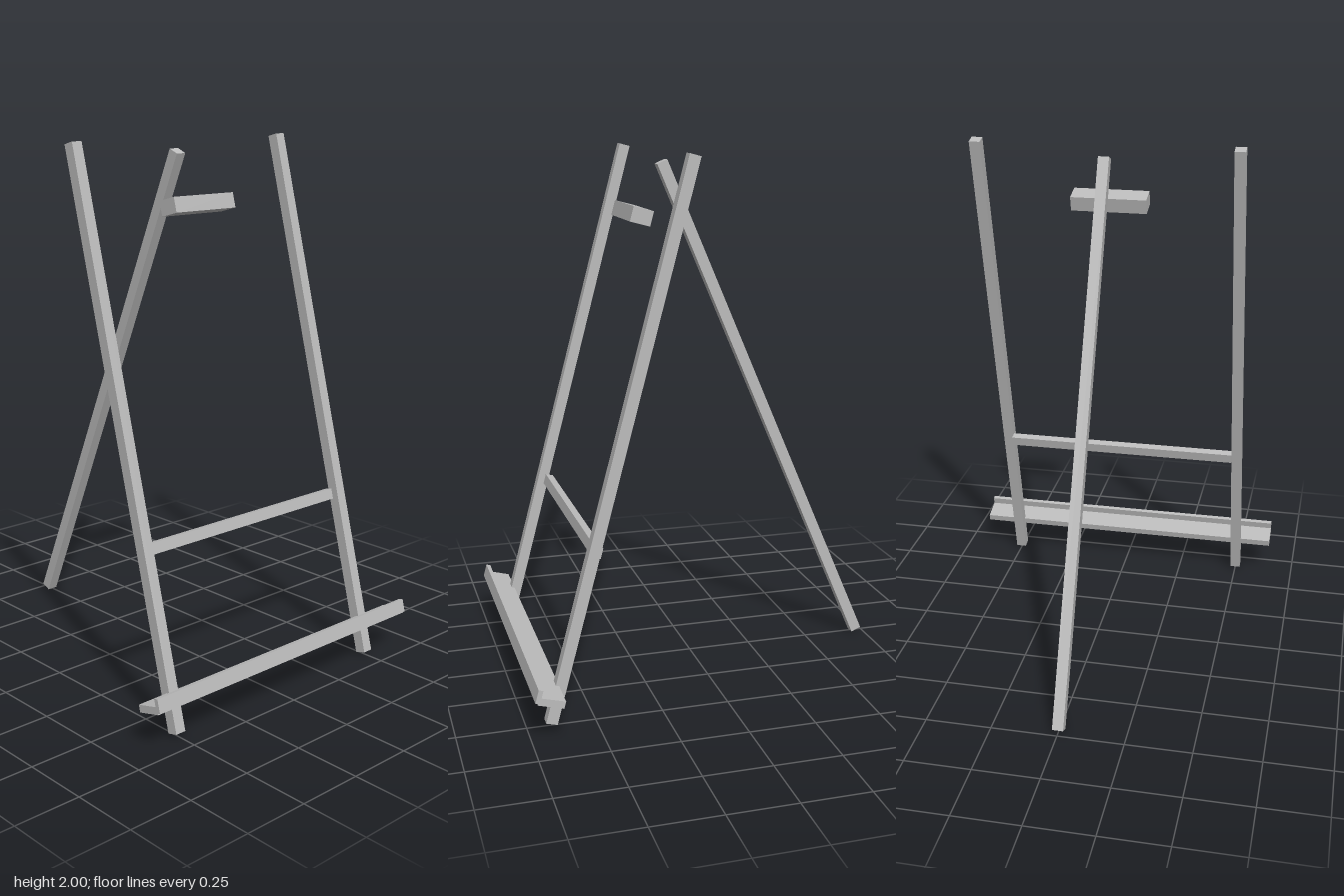
import * as THREE from 'three';

const LEAN = THREE.MathUtils.degToRad(-15);       // front frame leans back
const REAR_LEAN = THREE.MathUtils.degToRad(23.2); // rear leg leans forward

export function createModel() {
  const easel = new THREE.Group();
  easel.name = 'easel';
  const grey = new THREE.MeshStandardMaterial({ color: 0xbbbbbb });
  grey.name = 'light grey';

  // A straight bar, tilted about the x axis
  function bar(name, size, position, tilt = 0, parent = easel) {
    const mesh = new THREE.Mesh(new THREE.BoxGeometry(...size), grey);
    mesh.name = name;
    mesh.position.set(...position);
    mesh.rotation.x = tilt;
    parent.add(mesh);
    return mesh;
  }

  // Legs
  bar('leftFrontLeg', [0.042, 2.051, 0.042], [0.5, 1.004, 0.397], LEAN);
  bar('rightFrontLeg', [0.042, 2.051, 0.042], [-0.5, 1.004, 0.397], LEAN);
  bar('rearLeg', [0.042, 2.111, 0.042], [0, 0.979, -0.305], REAR_LEAN);

  // Crossbar between the front legs
  bar('crossbar', [0.96, 0.04, 0.031], [0, 0.622, 0.477], LEAN);

  // Top block that holds the canvas
  bar('topHolder', [0.294, 0.057, 0.078], [0, 1.7625, 0.222], LEAN);

  // Tray with a raised front lip; its origin is the lower back edge
  const tray = new THREE.Group();
  tray.name = 'tray';
  tray.position.set(0, 0.13, 0.64);
  tray.rotation.x = LEAN;
  bar('trayShelf', [1.296, 0.027, 0.095], [0, 0.0135, 0.0475], 0, tray);
  bar('trayLip', [1.296, 0.05, 0.017], [0, 0.03, 0.0965], 0, tray);
  easel.add(tray);

  return easel;
}
